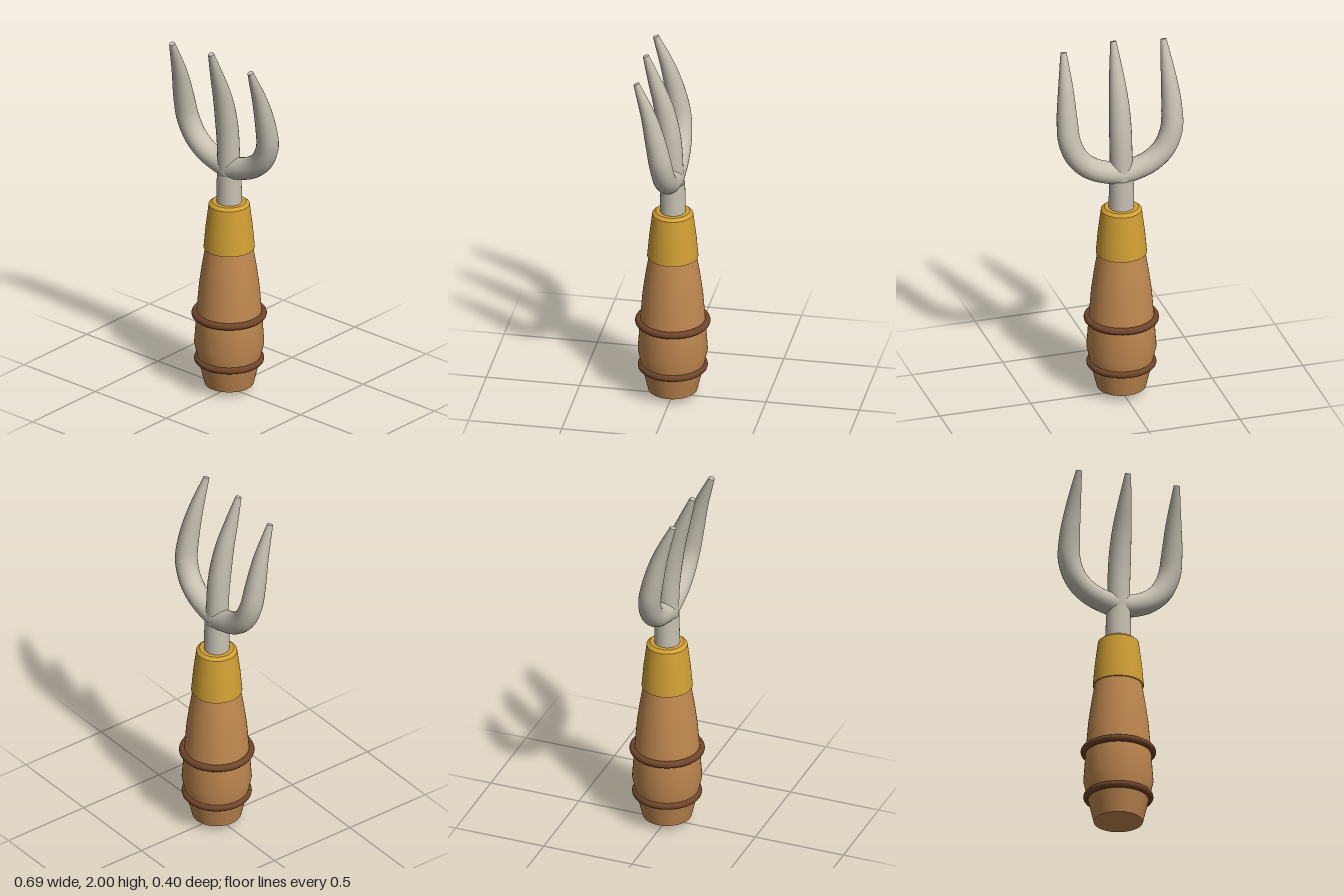
import * as THREE from 'three';
import { toCreasedNormals } from 'three/addons/utils/BufferGeometryUtils.js';

const material = (name, color) => Object.assign(new THREE.MeshStandardMaterial({ color }), { name });

export function createModel() {
  const wood = material('wood', 0xc08850);
  const darkWood = material('dark wood', 0x70452a);
  const brass = material('brass', 0xd2a035);
  const steel = material('steel', 0xc8c1b3);

  const group = new THREE.Group();
  group.name = 'handFork';
  const add = (name, geometry, mat, parent = group) => {
    const mesh = new THREE.Mesh(geometry, mat);
    mesh.name = name;
    parent.add(mesh);
    return mesh;
  };
  // Turned part from [radius, height] pairs, bottom to top
  const turned = (points) => toCreasedNormals(
    new THREE.LatheGeometry(points.map(([r, y]) => new THREE.Vector2(r, y)), 48), 0.5);

  // Handle, with a shallow cone at its butt
  add('handle', turned([[0, 0], [0.13, 0.035], [0.16, 0.16], [0.185, 0.27], [0.173, 0.44],
    [0.16, 0.6], [0.145, 0.71], [0.125, 0.83]]), wood);

  // Rings around the handle
  for (const [name, y, radius] of [['lowerRing', 0.178, 0.166], ['upperRing', 0.44, 0.18]]) {
    const ring = add(name, new THREE.TorusGeometry(radius, 0.019, 14, 48), darkWood);
    ring.rotation.x = Math.PI / 2;
    ring.position.y = y;
  }

  // Ferrule and shank
  add('ferrule', turned([[0, 0.825], [0.135, 0.825], [0.125, 0.94], [0.108, 1.075],
    [0.09, 1.09], [0, 1.09]]), brass);
  add('shank', new THREE.CylinderGeometry(0.065, 0.068, 0.19, 32).translate(0, 1.165, 0), steel);

  // Tapered tube: the radius depends on the distance still to go to the tip
  const tine = (name, points) => {
    const curve = new THREE.CatmullRomCurve3(points.map((p) => new THREE.Vector3(...p)));
    const rings = 48, sides = 24, tip = 0.016, full = 0.06;
    const length = curve.getLength();
    const geometry = new THREE.TubeGeometry(curve, rings, 1, sides, false);
    const position = geometry.attributes.position;
    const v = new THREE.Vector3();
    for (let i = 0; i <= rings; i++) {
      const centre = curve.getPointAt(i / rings);
      const t = Math.min(1, (1 - i / rings) * length / 0.52);
      const radius = tip + (full - tip) * Math.sin(t * Math.PI / 2);
      for (let j = 0; j <= sides; j++) {
        const k = i * (sides + 1) + j;
        v.fromBufferAttribute(position, k).sub(centre).multiplyScalar(radius).add(centre);
        position.setXYZ(k, v.x, v.y, v.z);
      }
    }
    const part = new THREE.Group();
    part.name = name;
    group.add(part);
    add(name + 'Body', geometry, steel, part);
    // Flat discs close both ends
    for (const [end, u, radius, sign] of [['Tip', 1, tip, 1], ['Root', 0, full, -1]]) {
      const cap = add(name + end, new THREE.CircleGeometry(radius, sides), steel, part);
      cap.position.copy(curve.getPointAt(u));
      cap.quaternion.setFromUnitVectors(new THREE.Vector3(0, 0, 1),
        curve.getTangentAt(u).multiplyScalar(sign));
    }
  };

  tine('middleTine', [[0, 1.24, 0], [0, 1.5, 0.014], [0, 1.7, 0.05], [0, 1.85, 0.097], [0, 1.995, 0.145]]);
  for (const [name, s] of [['leftTine', 1], ['rightTine', -1]]) {
    tine(name, [[0, 1.285, 0], [0.07, 1.3, 0], [0.16, 1.335, 0], [0.235, 1.4, 0.003],
      [0.28, 1.5, 0.013], [0.288, 1.62, 0.035], [0.283, 1.78, 0.075], [0.275, 1.97, 0.143]]
      .map(([x, y, z]) => [s * x, y, z]));
  }
  return group;
}
